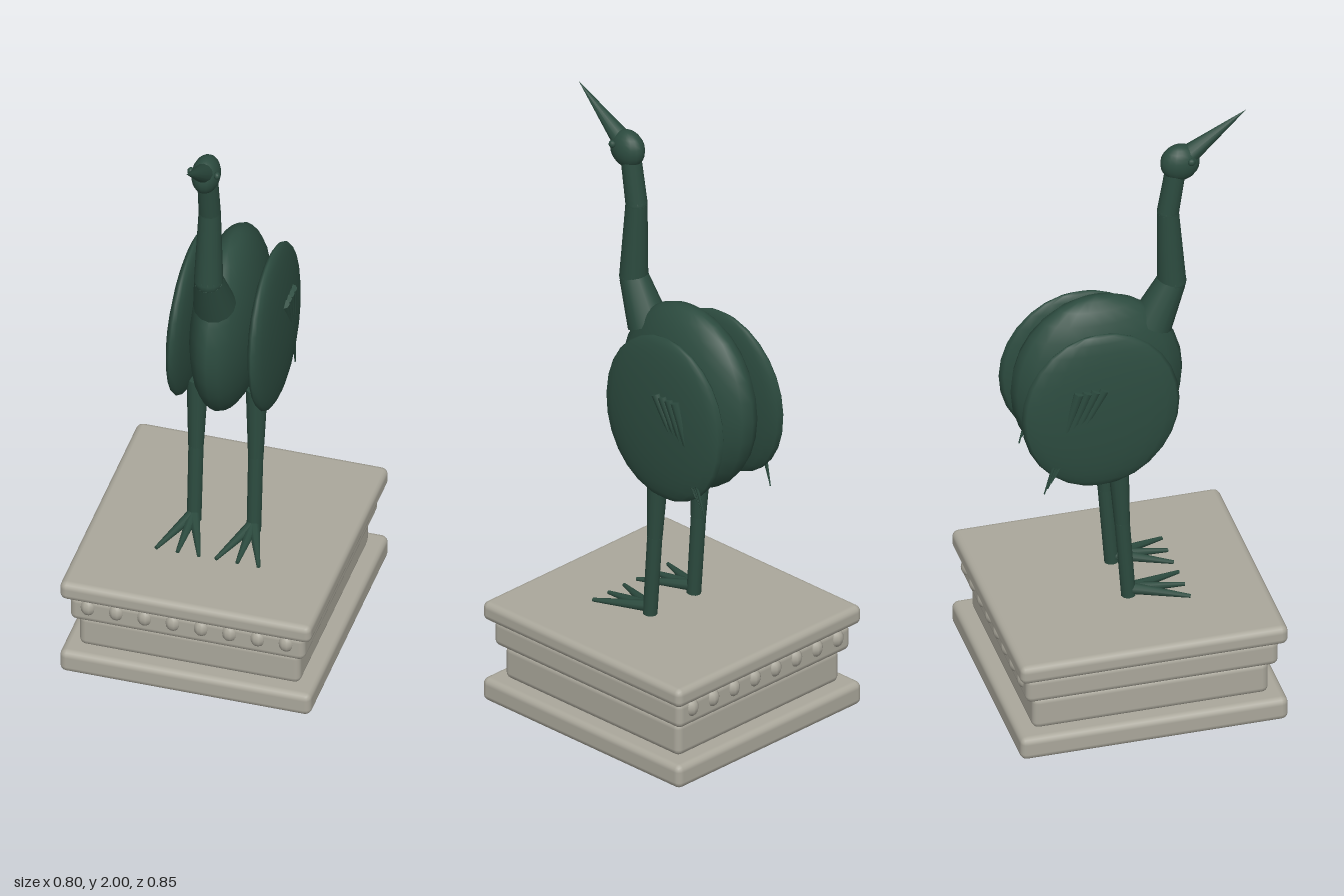
import * as THREE from 'three';
import { RoundedBoxGeometry } from 'three/addons/geometries/RoundedBoxGeometry.js';

export function createModel() {
  const model = new THREE.Group();
  const bronze = new THREE.MeshStandardMaterial({ color: 0x2c4b3f });
  bronze.name = 'dark green bronze';
  const stone = new THREE.MeshStandardMaterial({ color: 0xaaa79b });
  stone.name = 'grey stone';

  const add = (name, geometry, material) => {
    const mesh = new THREE.Mesh(geometry, material);
    mesh.name = name;
    model.add(mesh);
    return mesh;
  };
  const ellipsoid = (name, center, radii, material, w = 20, h = 14) => {
    const mesh = add(name, new THREE.SphereGeometry(1, w, h), material);
    mesh.position.set(...center);
    mesh.scale.set(...radii);
    return mesh;
  };
  // Tapered round bar between two points
  const bar = (name, from, to, r0, r1, sides = 12) => {
    const a = new THREE.Vector3(...from);
    const b = new THREE.Vector3(...to);
    const dir = b.clone().sub(a);
    const mesh = add(name, new THREE.CylinderGeometry(r1, r0, dir.length(), sides), bronze);
    mesh.position.copy(a).add(b).multiplyScalar(0.5);
    mesh.quaternion.setFromUnitVectors(new THREE.Vector3(0, 1, 0), dir.normalize());
    return mesh;
  };

  // Stepped plinth: bottom, top, half width, half depth
  const slabs = [
    ['plinthBase', 0.005, 0.084, 0.4, 0.424],
    ['plinthBody', 0.082, 0.196, 0.352, 0.374],
    ['plinthFrieze', 0.194, 0.284, 0.374, 0.4],
    ['plinthTop', 0.282, 0.346, 0.4, 0.424],
  ];
  for (const [name, y0, y1, hw, hd] of slabs) {
    const geometry = new RoundedBoxGeometry(hw * 2, y1 - y0, hd * 2, 2, 0.022);
    add(name, geometry, stone).position.y = (y0 + y1) / 2;
  }
  // Beads along the front and back of the frieze
  for (const z of [-0.39, 0.39]) {
    for (let i = 0; i < 8; i++) {
      ellipsoid('plinthBead', [-0.315 + i * 0.09, 0.253, z], [0.025, 0.031, 0.025], stone, 10, 8);
    }
  }

  // Body
  ellipsoid('body', [0, 1.095, -0.075], [0.106, 0.305, 0.272], bronze);

  // Neck: y, z, radius
  const neck = [
    [1.275, 0.1, 0.066],
    [1.415, 0.164, 0.045],
    [1.67, 0.152, 0.034],
    [1.82, 0.176, 0.032],
  ];
  for (let i = 0; i < neck.length - 1; i++) {
    const [y0, z0, r0] = neck[i];
    const [y1, z1, r1] = neck[i + 1];
    bar('neck', [0, y0, z0], [0, y1, z1], r0, r1, 14);
    if (i > 0) ellipsoid('neckJoint', [0, y0, z0], [r0, r0, r0], bronze, 14, 10);
  }

  // Head and beak
  ellipsoid('head', [0, 1.845, 0.19], [0.044, 0.061, 0.062], bronze, 16, 12);
  bar('beak', [0, 1.863, 0.21], [0, 2, 0.4], 0.033, 0, 12);

  for (const s of [-1, 1]) {
    ellipsoid('eye', [s * 0.042, 1.866, 0.215], [0.01, 0.012, 0.012], bronze, 10, 8);

    // Wing with long feathers, partly sunk into it
    const wing = ellipsoid('wing', [s * 0.13, 1.07, -0.098], [0.041, 0.271, 0.25], bronze);
    wing.rotation.z = s * 0.03;
    for (let i = 0; i < 4; i++) {
      bar('wingFeather', [s * 0.164, 1.165, -0.095 - i * 0.027],
        [s * (0.152 - i * 0.003), 0.86 - i * 0.02, -0.25 - i * 0.01], 0.016, 0.002, 8);
    }

    // Leg in two lengths, then three forward toes
    bar('thigh', [s * 0.094, 0.87, -0.034], [s * 0.095, 0.62, -0.02], 0.034, 0.024);
    bar('shin', [s * 0.095, 0.62, -0.02], [s * 0.095, 0.348, 0], 0.024, 0.023);
    for (const spread of [-0.068, 0, 0.068]) {
      bar('toe', [s * 0.095, 0.372, 0], [s * 0.095 + spread, 0.353, 0.178], 0.019, 0.006, 8);
    }
  }

  return model;
}
